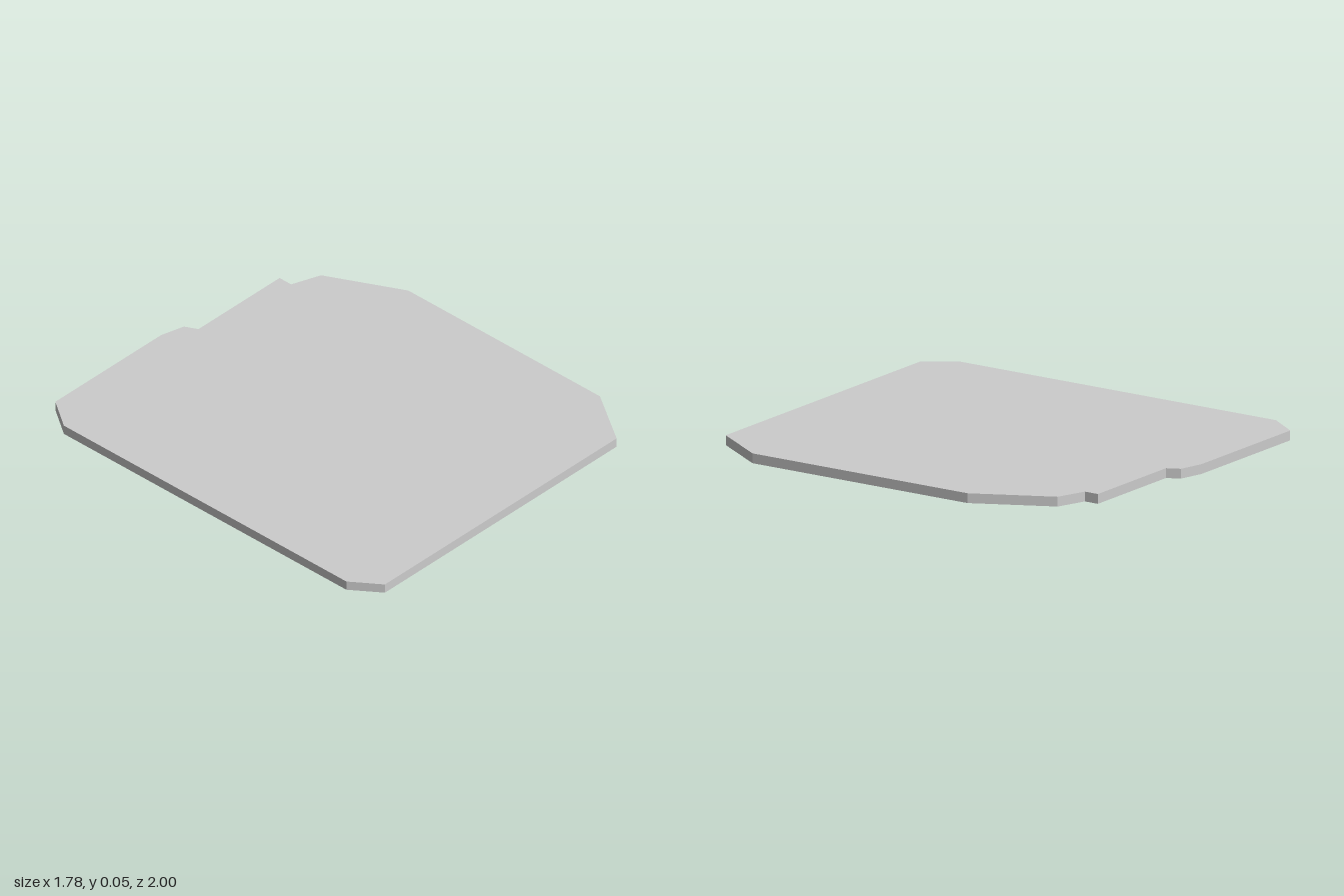
import * as THREE from 'three';

const THICKNESS = 0.045;

// Outline of the deck as [x, z] edges running from right (-x) to left (+x)
const BACK = [
  [-0.89, -0.85], [-0.785, -1], [-0.1, -1], [0.015, -0.97], [0.045, -0.91],
  [0.57, -0.91], [0.57, -0.84], [0.71, -0.79], [0.89, -0.43],
];
const FRONT = [[-0.89, 0.86], [-0.79, 1], [0.71, 1], [0.89, 0.73]];

// Seams between the planks
const SEAMS = [-0.89, -0.785, -0.685, -0.585, -0.49, -0.39, -0.29, -0.2, -0.1, 0,
  0.095, 0.19, 0.28, 0.38, 0.48, 0.57, 0.71, 0.89];

// The part of an outline edge that lies between x = a and x = b
function edgeBetween(edge, a, b) {
  const points = [];
  for (let i = 1; i < edge.length; i++) {
    const [x0, z0] = edge[i - 1];
    const [x1, z1] = edge[i];
    const from = Math.max(a, x0);
    const to = Math.min(b, x1);
    if (to - from < 1e-6) continue;
    const zAt = (x) => z0 + ((z1 - z0) * (x - x0)) / (x1 - x0);
    if (!points.length) points.push(new THREE.Vector2(from, -zAt(from)));
    points.push(new THREE.Vector2(to, -zAt(to)));
  }
  return points;
}

export function createModel() {
  const deck = new THREE.Group();
  deck.name = 'plankDeck';
  const material = new THREE.MeshStandardMaterial({ color: 0xcccccc, flatShading: true });

  // One board between each pair of seams, trimmed to the outline
  for (let i = 1; i < SEAMS.length; i++) {
    const a = SEAMS[i - 1];
    const b = SEAMS[i];
    const shape = new THREE.Shape([
      ...edgeBetween(FRONT, a, b),
      ...edgeBetween(BACK, a, b).reverse(),
    ]);
    const geometry = new THREE.ExtrudeGeometry(shape, { depth: THICKNESS, bevelEnabled: false });
    geometry.rotateX(-Math.PI / 2);
    const plank = new THREE.Mesh(geometry, material);
    plank.name = `plank${i}`;
    deck.add(plank);
  }
  return deck;
}
